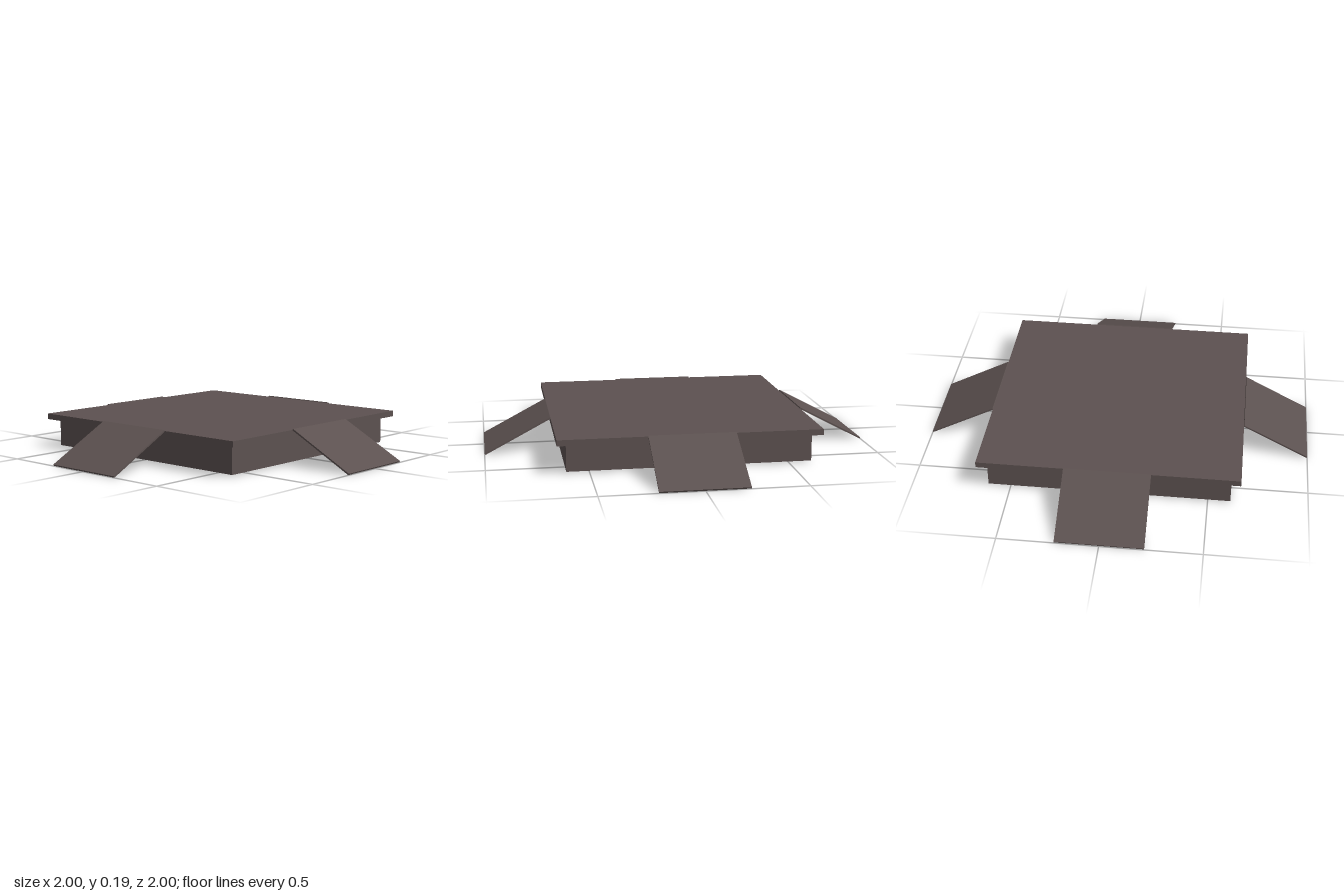
import * as THREE from 'three';

export function createModel() {
  const model = new THREE.Group();
  model.name = 'rampPlatform';
  const brown = new THREE.MeshStandardMaterial({ name: 'dark brown', color: 0x5c5150, side: THREE.DoubleSide });

  const add = (parent, name, geometry, x, y, z) => {
    const mesh = new THREE.Mesh(geometry, brown);
    mesh.name = name;
    mesh.position.set(x, y, z);
    parent.add(mesh);
    return mesh;
  };

  // Flat top slab
  add(model, 'topSlab', new THREE.BoxGeometry(1.32, 0.03, 1.32), 0, 0.165, 0);

  // Each side has a thin skirt wall (open underneath) and a sloping ramp
  const wall = new THREE.PlaneGeometry(1.226, 0.142);
  const ramp = new THREE.BoxGeometry(0.436, 0.008, 0.382);
  ['front', 'left', 'back', 'right'].forEach((label, i) => {
    const side = new THREE.Group();
    side.name = label + 'Side';
    side.rotation.y = i * Math.PI / 2;
    add(side, label + 'Skirt', wall, 0, 0.079, 0.613);
    add(side, label + 'Ramp', ramp, 0, 0.0925, 0.829).rotation.x = 0.485;
    model.add(side);
  });

  return model;
}
